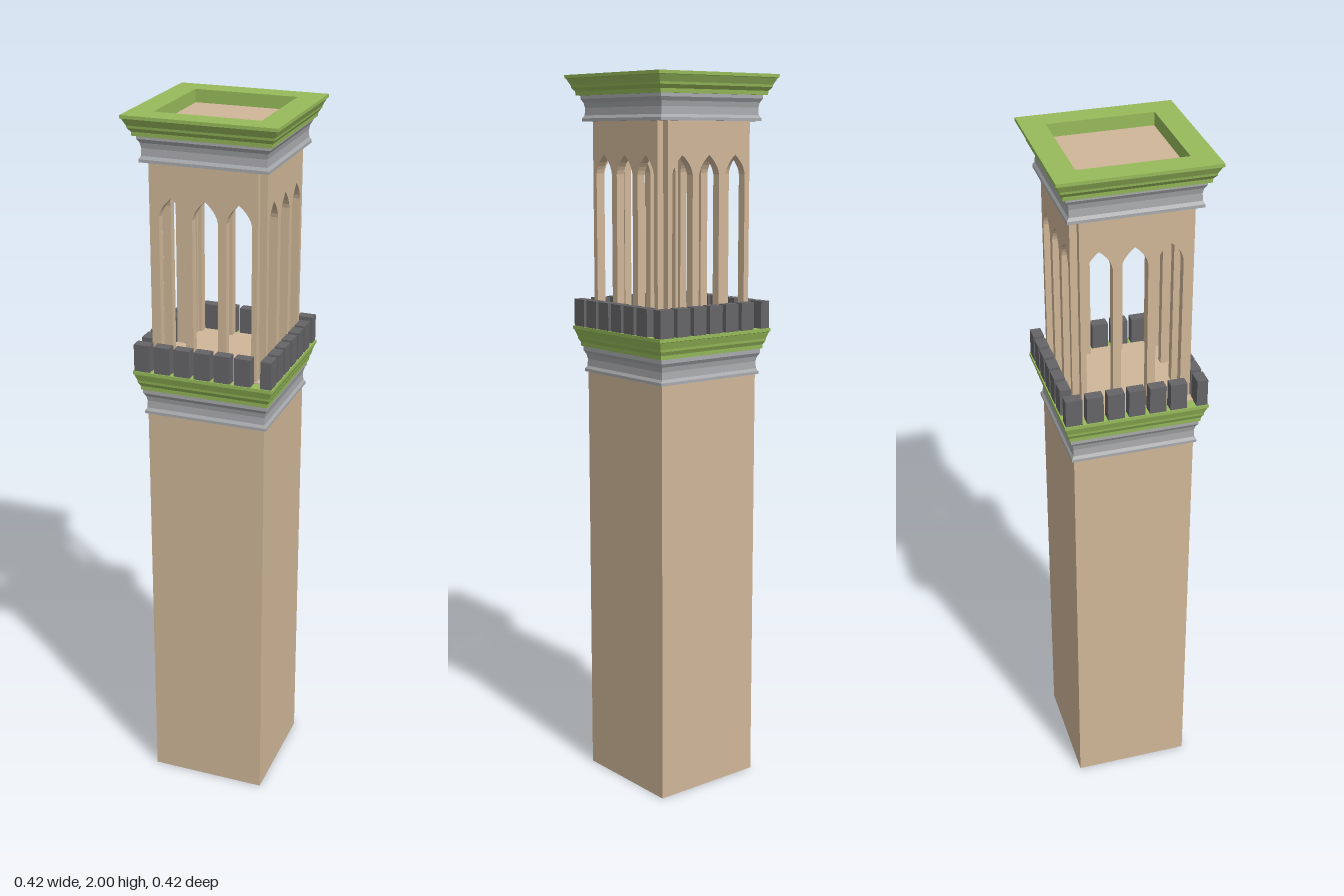
import * as THREE from 'three';

const stone = new THREE.MeshStandardMaterial({ name: 'tanStone', color: 0xd0b799, side: THREE.DoubleSide });
const green = new THREE.MeshStandardMaterial({ name: 'greenTrim', color: 0x97bb5b });
const grey = new THREE.MeshStandardMaterial({ name: 'greyMoulding', color: 0xa9aaad });
const dark = new THREE.MeshStandardMaterial({ name: 'darkGreyStone', color: 0x656568 });

// Sweeps a profile of [half width, height] round a square
function squareSweep(name, profile, material) {
  const points = profile.map(([h, y]) => new THREE.Vector2(h * Math.SQRT2, y));
  const geometry = new THREE.LatheGeometry(points, 4, Math.PI / 4).toNonIndexed();
  geometry.computeVertexNormals();
  const mesh = new THREE.Mesh(geometry, material);
  mesh.name = name;
  return mesh;
}

function box(name, w, h, d, x, y, z, material) {
  const mesh = new THREE.Mesh(new THREE.BoxGeometry(w, h, d), material);
  mesh.position.set(x, y, z);
  mesh.name = name;
  return mesh;
}

// Grey concave band under each green cornice
function moulding(name, y) {
  return squareSweep(name, [
    [0.14, y], [0.174, y], [0.174, y + 0.008], [0.169, y + 0.016], [0.168, y + 0.036],
    [0.171, y + 0.05], [0.177, y + 0.06], [0.177, y + 0.072], [0.14, y + 0.072],
  ], grey);
}

// Stepped green cornice, flaring upward and hollow in the middle
function cornice(name, y, height, bottom, top, inner) {
  const at = (t, s) => [bottom + (top - bottom) * s, y + height * t];
  return squareSweep(name, [
    [inner, y], at(0, 0), at(0.2, 0.05), at(0.38, 0.4), at(0.5, 0.45), at(0.82, 0.85),
    at(0.84, 1), at(1, 1), [inner, y + height], [inner, y],
  ], green);
}

// Pointed arch opening
function archOpening(x, bottom) {
  const w = 0.035, path = new THREE.Path();
  path.moveTo(x - w, bottom);
  path.lineTo(x - w, 1.735);
  path.quadraticCurveTo(x - w + 0.004, 1.762, x, 1.787);
  path.quadraticCurveTo(x + w - 0.004, 1.762, x + w, 1.735);
  path.lineTo(x + w, bottom);
  path.closePath();
  return path;
}

export function createModel() {
  const model = new THREE.Group();
  model.name = 'bellTower';

  // Hollow shaft, open underneath
  model.add(squareSweep('shaft', [[0.167, 0], [0.167, 1.25]], stone));

  // Gallery at the head of the shaft
  model.add(moulding('lowerMoulding', 1.182));
  model.add(cornice('lowerCornice', 1.254, 0.058, 0.181, 0.197, 0.14));
  model.add(box('galleryFloor', 0.33, 0.03, 0.33, 0, 1.3, 0, stone));

  // Belfry wall with three openings, inset from the corners
  const shape = new THREE.Shape();
  shape.moveTo(-0.142, 1.3);
  shape.lineTo(0.142, 1.3);
  shape.lineTo(0.142, 1.95);
  shape.lineTo(-0.142, 1.95);
  shape.closePath();
  for (const x of [-0.092, 0, 0.092]) shape.holes.push(archOpening(x, 1.31));
  const wall = new THREE.ExtrudeGeometry(shape, { depth: 0.024, bevelEnabled: false, curveSegments: 5 });
  wall.translate(0, 0, 0.137);

  // Four sides: wall and battlements
  for (let side = 0; side < 4; side++) {
    const group = new THREE.Group();
    group.name = 'galleryAndBelfrySide';
    const panel = new THREE.Mesh(wall, stone);
    panel.name = 'belfryWall';
    group.add(panel);
    for (let i = 0; i < 7; i++) {
      const x = -0.171 + i * 0.057;
      // each corner block belongs to one side only
      if (i < 6) group.add(box('battlement', 0.045, 0.078, 0.03, x, 1.349, 0.179, dark));
    }
    group.rotation.y = side * Math.PI / 2;
    model.add(group);
  }

  // Crown
  model.add(moulding('upperMoulding', 1.876));
  model.add(cornice('upperCornice', 1.945, 0.055, 0.186, 0.208, 0.143));
  model.add(box('roofDeck', 0.284, 0.02, 0.284, 0, 1.955, 0, stone));

  return model;
}
